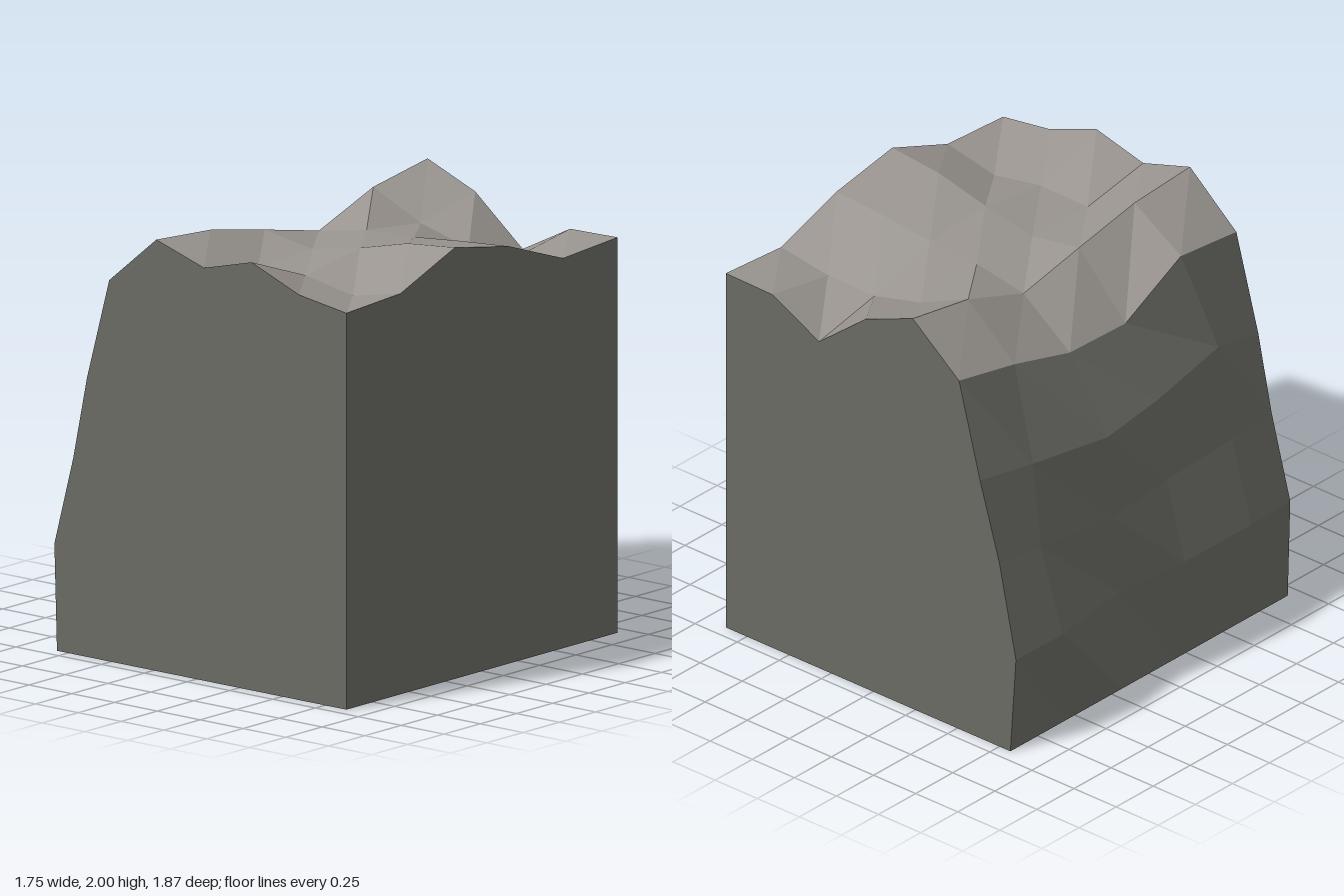
import * as THREE from 'three';

// Faceted sheet through rows of points
function sheet(rows) {
  const pos = [];
  for (let r = 0; r < rows.length - 1; r++) {
    for (let c = 0; c < rows[r].length - 1; c++) {
      const a = rows[r][c], b = rows[r + 1][c], d = rows[r + 1][c + 1], e = rows[r][c + 1];
      pos.push(...a, ...b, ...d, ...a, ...d, ...e);
    }
  }
  const g = new THREE.BufferGeometry();
  g.setAttribute('position', new THREE.Float32BufferAttribute(pos, 3));
  g.computeVertexNormals();
  return g;
}

// Flat wall cut to an outline
function wall(outline) {
  return new THREE.ShapeGeometry(new THREE.Shape(outline.map(([u, v]) => new THREE.Vector2(u, v))));
}

export function createModel() {
  const group = new THREE.Group();
  const topStone = new THREE.MeshStandardMaterial({ color: 0x99948f, side: THREE.DoubleSide });
  topStone.name = 'paleStone';
  const sideStone = new THREE.MeshStandardMaterial({ color: 0x6a6a65, side: THREE.DoubleSide });
  sideStone.name = 'darkStone';
  const add = (name, geometry, material) => {
    const m = new THREE.Mesh(geometry, material);
    m.name = name;
    group.add(m);
    return m;
  };

  // Ground heights, one row per z from back to front
  const xs = [-0.51, -0.235, 0.043, 0.321, 0.598, 0.875];
  const zs = [-0.935, -0.561, -0.187, 0.187, 0.561, 0.935];
  const heights = [
    [1.785, 2.0, 1.893, 1.673, 1.81, 1.815],
    [1.71, 1.94, 1.818, 1.748, 1.75, 1.79],
    [1.61, 1.81, 1.857, 1.87, 1.895, 1.915],
    [1.60, 1.885, 1.84, 1.89, 1.955, 1.98],
    [1.785, 1.955, 1.83, 1.835, 1.785, 1.84],
    [1.75, 1.98, 1.895, 1.965, 1.86, 1.82],
  ];
  const top = heights.map((row, r) => row.map((h, c) => [xs[c], h, zs[r]]));
  add('rockyTop', sheet(top), topStone);

  // Cliff: [x, y] along z, from the upper ring to the base
  const cliffZ = [-0.935, -0.65, -0.2, 0.2, 0.645, 0.935];
  const rings = [
    [[-0.635, 1.32], [-0.70, 1.31], [-0.745, 1.27], [-0.69, 1.27], [-0.66, 1.34], [-0.64, 1.28]],
    [[-0.75, 0.94], [-0.745, 0.9], [-0.775, 0.87], [-0.745, 0.88], [-0.74, 0.9], [-0.72, 0.9]],
    [[-0.848, 0.48], [-0.875, 0.5], [-0.81, 0.5], [-0.85, 0.5], [-0.853, 0.5], [-0.83, 0.49]],
  ].map((ring) => ring.map(([x, y], i) => [x, y, cliffZ[i]]));
  const base = zs.map((z) => [-0.815, 0, z]);
  const cliff = [top.map((row) => row[0]), ...rings, base];
  add('cliffFace', sheet(cliff), sideStone);

  // Front and back walls follow the ends of the cliff and the top
  const endOutline = (i) => [
    [0.875, 0],
    ...top[i].slice().reverse().map(([x, y]) => [x, y]),
    ...cliff.slice(1).map((row) => [row[i][0], row[i][1]]),
  ];
  add('frontWall', wall(endOutline(5)), sideStone).position.z = 0.935;
  const back = add('backWall', wall(endOutline(0).map(([x, y]) => [-x, y])), sideStone);
  back.rotation.y = Math.PI;
  back.position.z = -0.935;

  // Straight side wall
  const edge = top.map((row) => [-row[5][2], row[5][1]]);
  const side = add('sideWall', wall([[0.935, 0], ...edge, [-0.935, 0]]), sideStone);
  side.rotation.y = Math.PI / 2;
  side.position.x = 0.875;

  return group;
}
